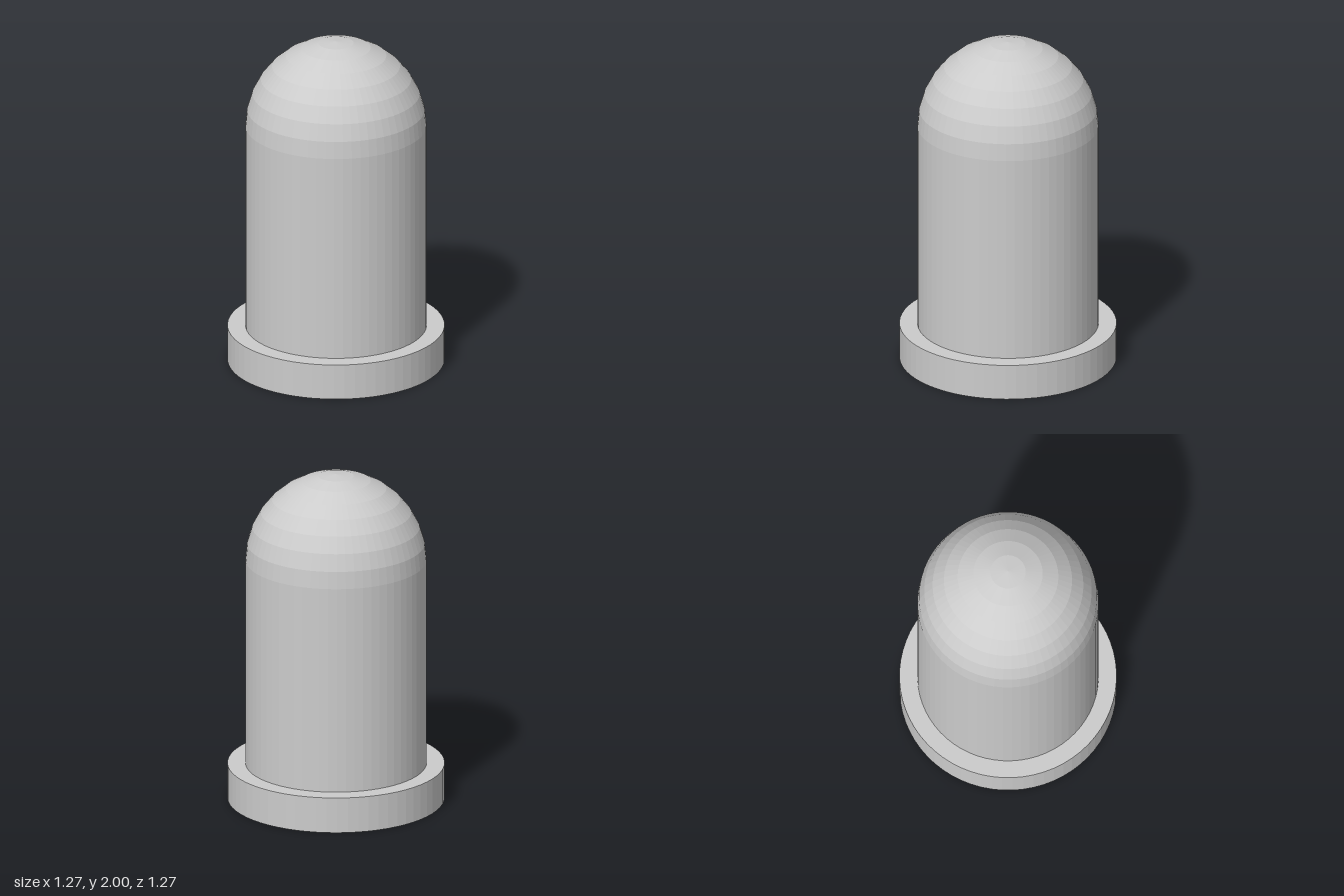
import * as THREE from 'three';

const SIDES = 64;
const BODY_R = 0.53;
const FLANGE_R = 0.635;
const FLANGE_H = 0.215;
const SHOULDER_Y = 2 - BODY_R;

export function createModel() {
  const group = new THREE.Group();
  group.name = 'domedCapsule';
  const material = new THREE.MeshStandardMaterial({ color: 0xcccccc, flatShading: true });

  const add = (name, geometry, y) => {
    const mesh = new THREE.Mesh(geometry, material);
    mesh.name = name;
    mesh.position.y = y;
    group.add(mesh);
  };

  // Flat disc at the foot
  add('baseFlange', new THREE.CylinderGeometry(FLANGE_R, FLANGE_R, FLANGE_H, SIDES), FLANGE_H / 2);

  // Straight wall, open at both ends where it meets the flange and dome
  const bodyH = SHOULDER_Y - FLANGE_H;
  add('body', new THREE.CylinderGeometry(BODY_R, BODY_R, bodyH, SIDES, 1, true), FLANGE_H + bodyH / 2);

  // Hemispherical top in eight faceted bands
  add('dome', new THREE.SphereGeometry(BODY_R, SIDES, 8, 0, Math.PI * 2, 0, Math.PI / 2), SHOULDER_Y);

  return group;
}
